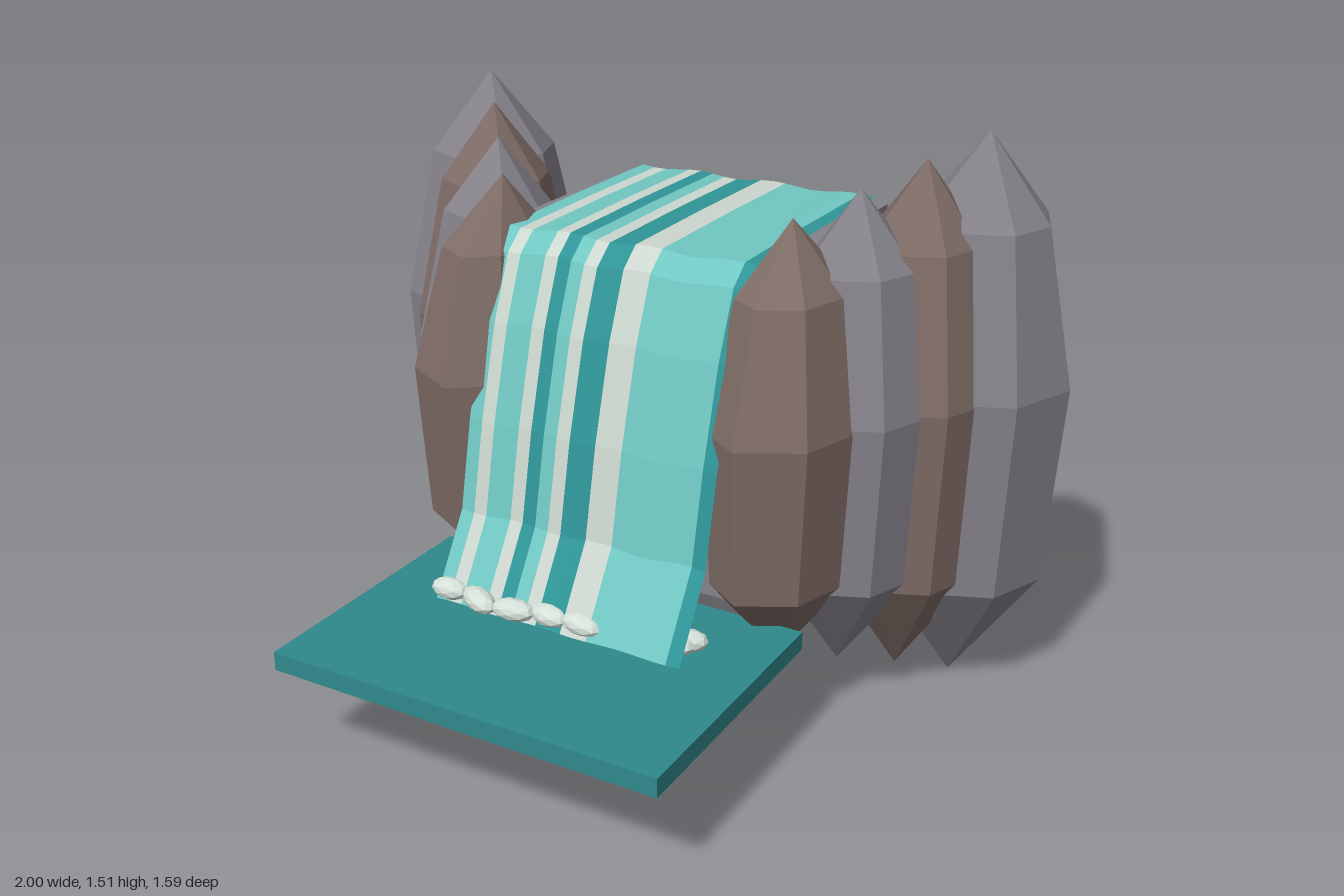
import * as THREE from 'three';

const mat = (name, color, extra = {}) => {
  const m = new THREE.MeshStandardMaterial({ color, ...extra });
  m.name = name;
  return m;
};

// Faceted copy of a geometry, one normal per face
function faceted(geometry) {
  const g = geometry.index ? geometry.toNonIndexed() : geometry;
  g.computeVertexNormals();
  return g;
}

// Eight-sided spindle; each of the four directions has its own radius
function spindle(bottom, top, right, left, front, back) {
  const profile = [[0, 0], [0.88, 0.222], [1, 0.58], [0.66, 0.853], [0, 1]]
    .map(([r, t]) => new THREE.Vector2(r, bottom + (top - bottom) * t));
  const g = new THREE.LatheGeometry(profile, 8);
  const p = g.attributes.position;
  for (let i = 0; i < p.count; i++) {
    const x = p.getX(i), z = p.getZ(i);
    p.setX(i, x * (x > 0 ? right : left));
    p.setZ(i, z * (z > 0 ? front : back));
  }
  return faceted(g);
}

// Columns of the stream that share one colour, swept along a z, y profile
function streamStripes(columns, width, count) {
  const profile = [[-0.71, 1.243], [-0.36, 1.243], [-0.01, 1.238], [0.05, 1.19],
    [0.12, 1.02], [0.19, 0.77], [0.24, 0.53], [0.37, 0.32]];
  const point = (column, row) => {
    const x = -width / 2 + width * column / count;
    return [x, profile[row][1] + 0.005 * Math.sin(x * 26), profile[row][0]];
  };
  const positions = [];
  for (const c of columns) {
    for (let r = 0; r < profile.length - 1; r++) {
      const a = point(c, r), b = point(c, r + 1), d = point(c + 1, r + 1), e = point(c + 1, r);
      positions.push(...a, ...b, ...d, ...a, ...d, ...e);
    }
  }
  const g = new THREE.BufferGeometry();
  g.setAttribute('position', new THREE.Float32BufferAttribute(positions, 3));
  return faceted(g);
}

export function createModel() {
  const model = new THREE.Group();
  model.name = 'waterfall';
  const add = (name, geometry, material, x = 0, y = 0, z = 0, parent = model) => {
    const mesh = new THREE.Mesh(geometry, material);
    mesh.name = name;
    mesh.position.set(x, y, z);
    parent.add(mesh);
    return mesh;
  };

  const grey = mat('grey stone', 0x85828a);
  const brown = mat('brown stone', 0x7f6c66);
  const pool = mat('pool teal', 0x2f898b);
  const foam = mat('foam', 0xd5e0d8);
  const water = {
    L: mat('light water', 0x70c6c1, { side: THREE.DoubleSide }),
    W: mat('white water', 0xcbd6ce, { side: THREE.DoubleSide }),
    D: mat('deep water', 0x2f9497, { side: THREE.DoubleSide }),
  };

  // Cliff block behind the fall and the pool slab in front
  add('cliffBlock', new THREE.BoxGeometry(0.8, 0.91, 0.7), grey, 0, 0.775, -0.36);
  add('pool', new THREE.BoxGeometry(1.08, 0.05, 0.745), pool, 0, 0.3, 0.425);

  // Stepped rows of rocks on both sides:
  // x, z, bottom, top, outer, inner, front, back radius, material
  const rocks = [
    [0.74, -0.5, 0, 1.515, 0.26, 0.26, 0.26, 0.295, grey],
    [0.635, -0.36, 0.06, 1.46, 0.225, 0.22, 0.245, 0.25, brown],
    [0.525, -0.215, 0.115, 1.405, 0.23, 0.2, 0.24, 0.24, grey],
    [0.415, -0.07, 0.165, 1.35, 0.22, 0.175, 0.295, 0.25, brown],
  ];
  for (const side of [1, -1]) {
    const row = new THREE.Group();
    row.name = side > 0 ? 'leftRocks' : 'rightRocks';
    model.add(row);
    for (const [x, z, bottom, top, outer, inner, front, back, material] of rocks) {
      const [right, left] = side > 0 ? [outer, inner] : [inner, outer];
      add('rock', spindle(bottom, top, right, left, front, back), material, side * x, 0, z, row);
    }
  }

  // Striped stream: flat on top, bending over the edge, flaring at the foot
  const stripes = 'LWLLWDLWDDWWLLLLLLD';
  for (const key of 'LWD') {
    const columns = [...stripes].map((s, i) => (s === key ? i : -1)).filter((i) => i >= 0);
    add('stream ' + water[key].name, streamStripes(columns, 0.72, stripes.length), water[key]);
  }

  // Foam lumps where the water lands
  const lumps = [[-0.33, 0.345], [-0.26, 0.275], [-0.23, 0.36], [-0.18, 0.29], [-0.125, 0.36],
    [-0.12, 0.285], [-0.02, 0.27], [-0.03, 0.335], [0.06, 0.335], [0.16, 0.255], [0.21, 0.26],
    [0.3, 0.305], [0.33, 0.275]];
  const lump = faceted(new THREE.IcosahedronGeometry(1, 1));
  lumps.forEach(([x, z], i) => {
    const mesh = add('foamLump', lump, foam, x, 0.351, z);
    mesh.scale.set(0.055 + 0.006 * (i % 3), 0.029, 0.035 + 0.004 * (i % 2));
    mesh.rotation.y = 0.5 * Math.sin(i * 2.3);
  });

  return model;
}
